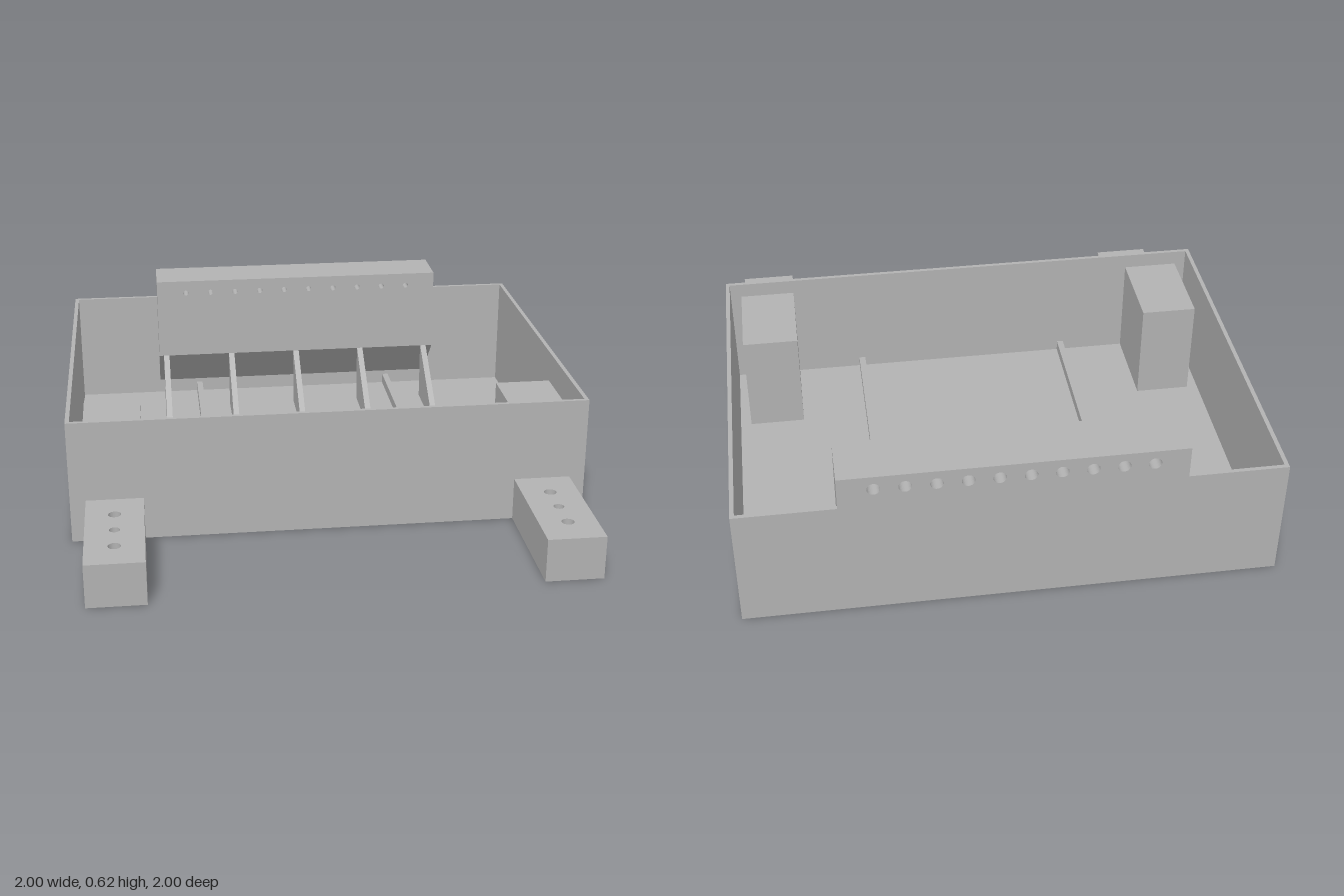
import * as THREE from 'three';

const WALL = 0.016, FLOOR = 0.02, BACK = -1, FRONT = 0.48;

// Closed outline from points
const outline = (pts) => new THREE.Shape(pts.map(([x, y]) => new THREE.Vector2(x, y)));
const rect = (x0, y0, x1, y1) => outline([[x0, y0], [x1, y0], [x1, y1], [x0, y1]]);

function drill(shape, x, y, r) {
  const hole = new THREE.Path();
  hole.absarc(x, y, r, 0, Math.PI * 2, true);
  shape.holes.push(hole);
}

const extrude = (shape, depth) =>
  new THREE.ExtrudeGeometry(shape, { depth, bevelEnabled: false, curveSegments: 16 });

// Plan outline (x, z) raised between two heights
const slab = (shape, y0, y1) => extrude(shape, y1 - y0).rotateX(Math.PI / 2).translate(0, y1, 0);

// Side outline (z, y) widened around x
const sidePlate = (pts, x, width) =>
  extrude(outline(pts), width).rotateY(-Math.PI / 2).translate(x + width / 2, 0, 0);

const block = (x0, x1, y0, y1, z0, z1) =>
  new THREE.BoxGeometry(x1 - x0, y1 - y0, z1 - z0)
    .translate((x0 + x1) / 2, (y0 + y1) / 2, (z0 + z1) / 2);

export function createModel() {
  const model = new THREE.Group();
  const grey = new THREE.MeshStandardMaterial({ color: 0xb2b2b2 });
  grey.name = 'plain grey';
  const add = (name, geometry, parent = model) => {
    const mesh = new THREE.Mesh(geometry, grey);
    mesh.name = name;
    parent.add(mesh);
  };

  // Open tray
  add('trayFloor', block(-1 + WALL, 1 - WALL, 0, FLOOR, BACK + WALL, FRONT - WALL));
  const walls = rect(-1, BACK, 1, FRONT);
  walls.holes.push(rect(-1 + WALL, BACK + WALL, 1 - WALL, FRONT - WALL));
  add('trayWalls', slab(walls, 0, 0.49));

  // Mounting arms, corner blocks and floor ribs on both sides
  for (const [side, s] of [['left', 1], ['right', -1]]) {
    const arm = new THREE.Group();
    arm.name = side + 'MountingArm';
    model.add(arm);
    const x0 = s * 0.83 - 0.11, x1 = s * 0.83 + 0.11;
    // the middle hole is blind, the outer two go through
    const lower = rect(x0, FRONT, x1, 1), upper = rect(x0, FRONT, x1, 1);
    for (const z of [0.61, 0.865]) {
      drill(lower, s * 0.83, z, 0.024);
      drill(upper, s * 0.83, z, 0.024);
    }
    drill(upper, s * 0.83, 0.737, 0.02);
    add('armBase', slab(lower, 0, 0.06), arm);
    add('armTop', slab(upper, 0.06, 0.17), arm);

    add(side + 'CornerBlock', block(x0, x1, FLOOR, 0.43, 0.11, FRONT - WALL));
    add(side + 'FloorRib',
      block(s * 0.443 - 0.013, s * 0.443 + 0.013, FLOOR, 0.062, BACK + WALL, FRONT - WALL));
  }

  // Rear bar: small holes in front, wider counterbores behind
  const bar = new THREE.Group();
  bar.name = 'rearBar';
  model.add(bar);
  const half = 0.628;
  const barFront = rect(-half, 0.27, half, 0.62), barBack = rect(-half, 0.27, half, 0.62);
  for (let i = 0; i < 10; i++) {
    const x = -0.5 + i * 0.111;
    drill(barFront, x, 0.565, 0.012);
    drill(barBack, x, 0.565, 0.024);
  }
  add('barFront', extrude(barFront, 0.125).translate(0, 0, -0.92), bar);
  add('barBack', extrude(barBack, 0.08).translate(0, 0, BACK), bar);
  add('barSlopedSupport',
    sidePlate([[-0.795, 0.27], [BACK + WALL, 0.27], [BACK + WALL, 0.08]], 0, half * 2), bar);

  // Triangular braces under the bar
  for (let i = -2; i <= 2; i++) {
    add('brace', sidePlate(
      [[-0.8, FLOOR], [-0.47, FLOOR], [-0.505, 0.062], [-0.795, 0.27], [-0.8, 0.27]],
      i * 0.296 - 0.004, 0.025));
  }
  return model;
}
